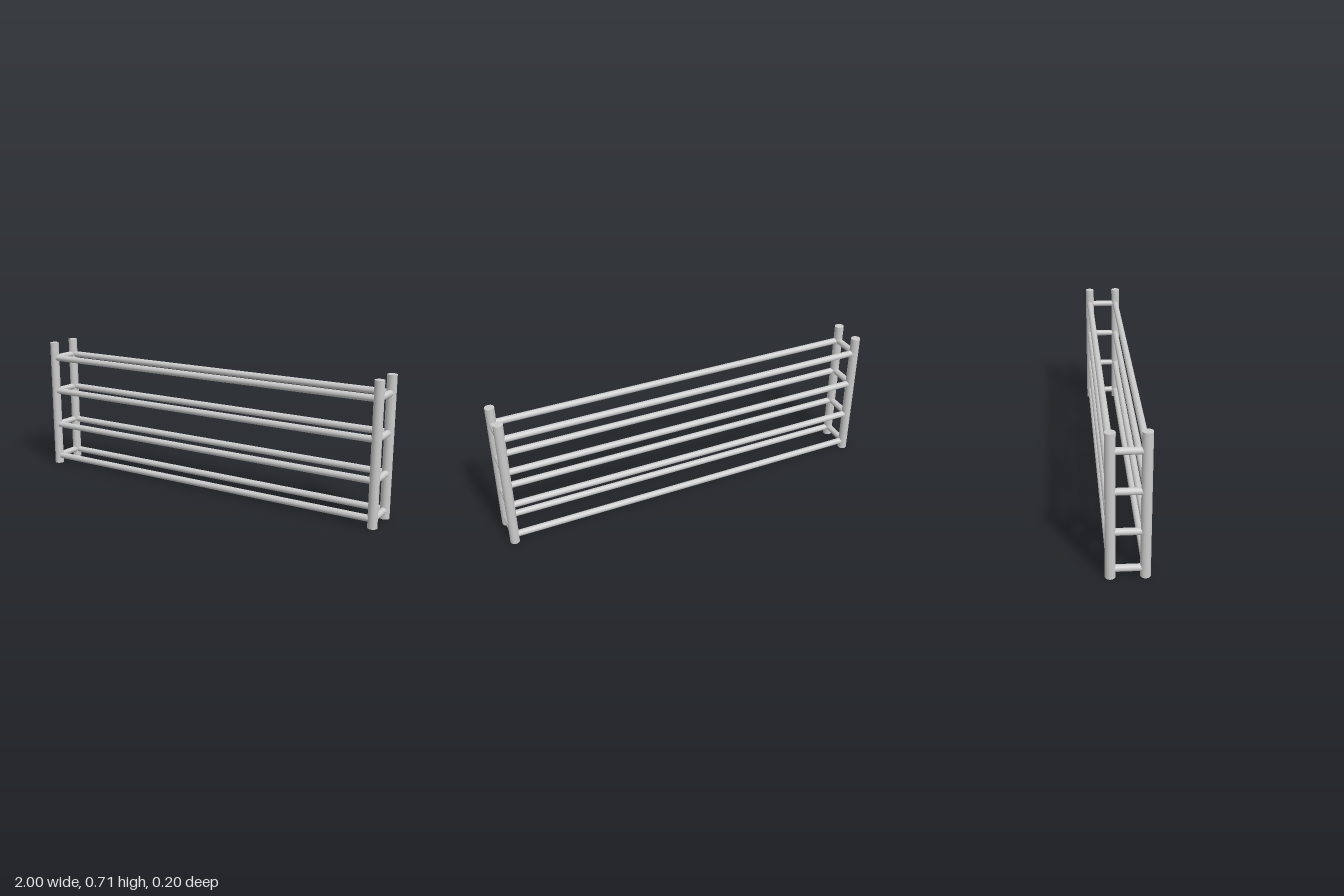
import * as THREE from 'three';

const HEIGHT = 0.71;
const POST_X = 0.976, POST_Z = 0.078, POST_R = 0.024;
const RAIL_R = 0.0167;
const LEVELS = [0.044, 0.231, 0.43, 0.622];

export function createModel() {
  const model = new THREE.Group();
  model.name = 'railRack';
  const material = new THREE.MeshStandardMaterial({ color: 0xcccccc });

  const postGeometry = new THREE.CylinderGeometry(POST_R, POST_R, HEIGHT, 32);
  // Bars run between post centres, so their ends are hidden inside the posts
  const railGeometry = new THREE.CylinderGeometry(RAIL_R, RAIL_R, POST_X * 2, 32).rotateZ(Math.PI / 2);
  const rungGeometry = new THREE.CylinderGeometry(RAIL_R, RAIL_R, POST_Z * 2, 32).rotateX(Math.PI / 2);

  const add = (name, geometry, x, y, z) => {
    const mesh = new THREE.Mesh(geometry, material);
    mesh.name = name;
    mesh.position.set(x, y, z);
    model.add(mesh);
  };

  // Four corner posts
  for (const [sideName, sx] of [['Left', 1], ['Right', -1]]) {
    for (const [endName, sz] of [['front', 1], ['back', -1]]) {
      add(`${endName}${sideName}Post`, postGeometry, sx * POST_X, HEIGHT / 2, sz * POST_Z);
    }
  }

  // Long rails and short end rungs at each level
  LEVELS.forEach((y, i) => {
    add(`frontRail${i + 1}`, railGeometry, 0, y, POST_Z);
    add(`backRail${i + 1}`, railGeometry, 0, y, -POST_Z);
    add(`leftRung${i + 1}`, rungGeometry, POST_X, y, 0);
    add(`rightRung${i + 1}`, rungGeometry, -POST_X, y, 0);
  });

  return model;
}
